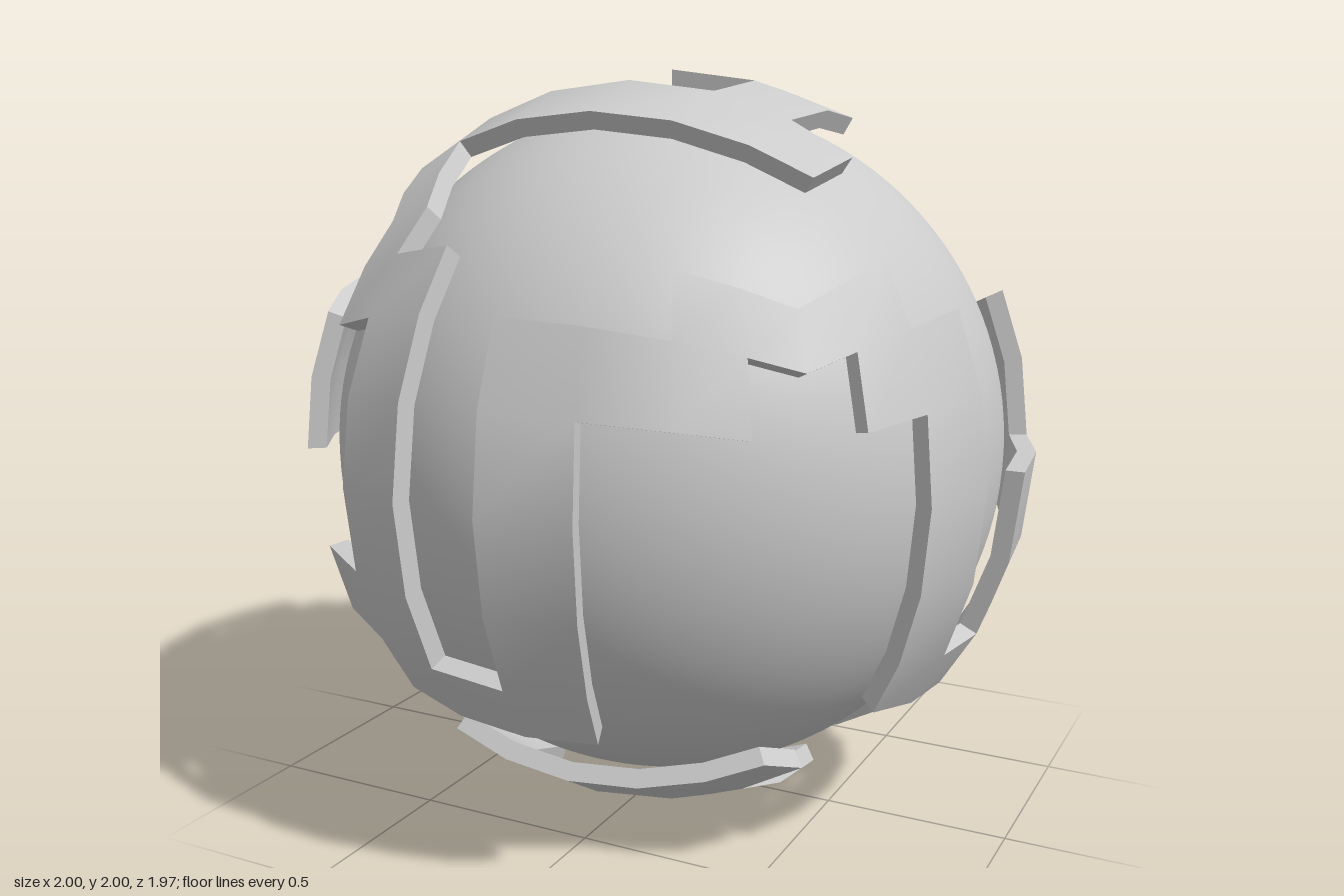
import * as THREE from 'three';
import { toCreasedNormals } from 'three/addons/utils/BufferGeometryUtils.js';

const CORE = 0.915, INNER = 0.95, OUTER = 1, N = 8;

// Plate layout on a cube projected to a sphere, each side drawn as seen from outside.
const SIDES = [
  { dir: (u, v) => [u, v, 1], rows: [ // front
    '.#......',
    '.##...##',
    '..#.###.',
    '..#.#...',
    '..#.#...',
    '.##.#...',
    '..###...',
    '........'] },
  { dir: (u, v) => [1, v, -u], rows: [ // left (+x)
    '........',
    '##......',
    '.##...##',
    '..#...#.',
    '..#.###.',
    '..#.#...',
    '..###...',
    '........'] },
  { dir: (u, v) => [-1, v, u], rows: [ // right (-x)
    '..#.....',
    '..###...',
    '....###.',
    '....###.',
    '..###...',
    '..#.....',
    '.###....',
    '...#....'] },
  { dir: (u, v) => [-u, v, -1], rows: [ // back
    '........',
    '........',
    '###.....',
    '..#.....',
    '..#.....',
    '..#.....',
    '..#.....',
    '..#.....'] },
  { dir: (u, v) => [u, 1, -v], rows: [ // top
    '........',
    '........',
    '..###...',
    '....##..',
    '.....#..',
    '.######.',
    '.#......',
    '.#......'] },
  { dir: (u, v) => [u, -1, v], rows: [ // bottom
    '........',
    '..#####.',
    '.##..#..',
    '.....#..',
    '##..#...',
    '....####',
    '.....##.',
    '.....#..'] },
];

// Closed shell over all marked cells: outer skin, inner skin and walls on open edges.
function bandGeometry() {
  const pos = [];
  const quad = (a, b, c, d) => [a, b, c, a, c, d].forEach(p => pos.push(p.x, p.y, p.z));
  const at = (p, r) => p.clone().multiplyScalar(r);
  const key = p => p.toArray().map(n => Math.round(n * 1000)).join();
  const edges = new Map();

  for (const { dir, rows } of SIDES) {
    const corner = (col, row) =>
      new THREE.Vector3(...dir(-1 + 2 * col / N, 1 - 2 * row / N)).normalize();
    for (let r = 0; r < N; r++) for (let c = 0; c < N; c++) {
      if (rows[r][c] !== '#') continue;
      const q = [corner(c, r + 1), corner(c + 1, r + 1), corner(c + 1, r), corner(c, r)];
      quad(...q.map(p => at(p, OUTER)));
      quad(...[...q].reverse().map(p => at(p, INNER)));
      q.forEach((p, i) => {
        const n = q[(i + 1) % 4];
        edges.set(key(p) + '|' + key(n), [p, n]);
      });
    }
  }
  for (const [a, b] of edges.values()) {
    if (edges.has(key(b) + '|' + key(a))) continue;
    quad(at(a, INNER), at(b, INNER), at(b, OUTER), at(a, OUTER));
  }
  const geo = new THREE.BufferGeometry();
  geo.setAttribute('position', new THREE.Float32BufferAttribute(pos, 3));
  return toCreasedNormals(geo, 0.5);
}

export function createModel() {
  const model = new THREE.Group();
  model.name = 'banded sphere';
  const material = new THREE.MeshStandardMaterial({ color: 0xcccccc });
  const add = (name, geometry) => {
    const mesh = new THREE.Mesh(geometry, material);
    mesh.name = name;
    mesh.position.set(0, 1, -0.015);
    model.add(mesh);
  };

  // Smooth core ball
  add('coreSphere', new THREE.SphereGeometry(CORE, 96, 64));
  // Maze-like plates floating just above the core
  add('raisedBands', bandGeometry());
  return model;
}
